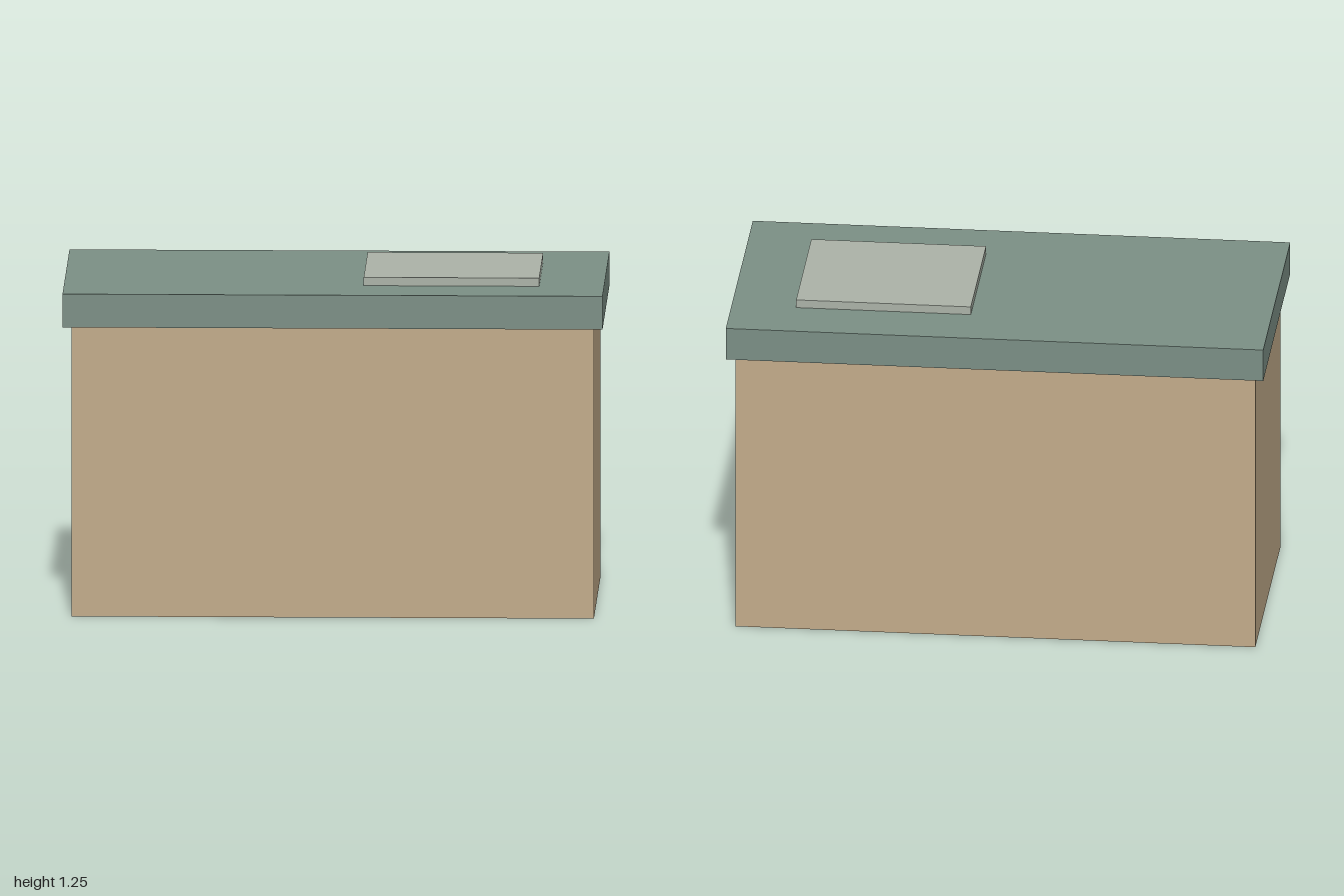
import * as THREE from 'three';

const material = (name, color) => {
  const m = new THREE.MeshStandardMaterial({ color });
  m.name = name;
  return m;
};

// Box standing on height y, centred on x and z = 0
function block(name, mat, width, height, depth, x, y) {
  const mesh = new THREE.Mesh(new THREE.BoxGeometry(width, height, depth), mat);
  mesh.name = name;
  mesh.position.set(x, y + height / 2, 0);
  return mesh;
}

export function createModel() {
  const model = new THREE.Group();
  model.name = 'counter';

  const tan = material('tan', 0xc2ab8a);
  const green = material('greyGreen', 0x7b8f85);
  const pale = material('paleGrey', 0xabb2a7);

  model.add(
    // Cabinet body
    block('body', tan, 1.935, 1.09, 0.94, 0, 0),
    // Overhanging worktop
    block('worktop', green, 2, 0.125, 1, 0, 1.09),
    // Thin plate set off to the left side
    block('plate', pale, 0.65, 0.031, 0.564, 0.435, 1.215)
  );
  return model;
}
